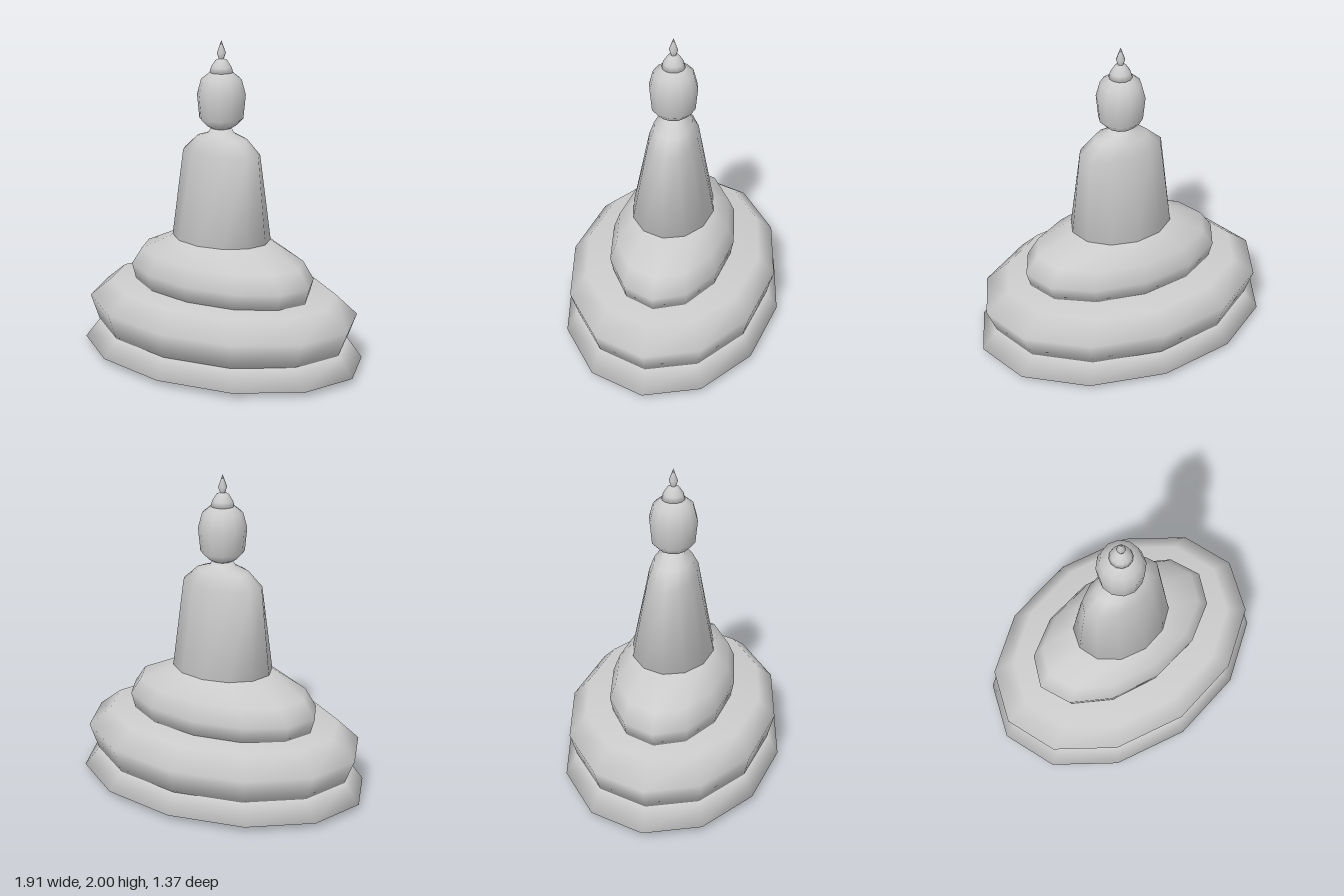
import * as THREE from 'three';

const material = new THREE.MeshStandardMaterial({ color: 0xcccccc });

// Smooth closed loft through elliptical rings [y, radiusX, radiusZ], bottom to top.
function loft(name, rings, sides = 12) {
  const pos = [], index = [];
  for (const [y, rx, rz = rx] of rings) {
    for (let i = 0; i < sides; i++) {
      const a = (i / sides) * Math.PI * 2;
      pos.push(rx * Math.cos(a), y, rz * Math.sin(a));
    }
  }
  for (let r = 0; r < rings.length - 1; r++) {
    for (let i = 0; i < sides; i++) {
      const j = (i + 1) % sides;
      const a = r * sides + i, b = r * sides + j;
      index.push(a, a + sides, b, b, a + sides, b + sides);
    }
  }
  // end caps
  const last = (rings.length - 1) * sides;
  const bottom = pos.length / 3, top = bottom + 1;
  pos.push(0, rings[0][0], 0, 0, rings[rings.length - 1][0], 0);
  for (let i = 0; i < sides; i++) {
    const j = (i + 1) % sides;
    index.push(bottom, i, j, top, last + j, last + i);
  }
  const geometry = new THREE.BufferGeometry();
  geometry.setAttribute('position', new THREE.Float32BufferAttribute(pos, 3));
  geometry.setIndex(index);
  geometry.computeVertexNormals();
  const mesh = new THREE.Mesh(geometry, material);
  mesh.name = name;
  return mesh;
}

export function createModel() {
  const group = new THREE.Group();
  group.name = 'seatedStatue';
  group.add(
    // two-tier pedestal
    loft('pedestalFoot', [[0, 0.83, 0.585], [0.035, 0.957, 0.687], [0.16, 0.857, 0.615]]),
    loft('pedestalCushion', [[0.16, 0.857, 0.615], [0.32, 0.92, 0.657], [0.44, 0.77, 0.553]]),
    // crossed legs as one rounded mass
    loft('foldedLegs', [[0.435, 0.615, 0.37], [0.54, 0.645, 0.39], [0.65, 0.57, 0.35], [0.768, 0.32, 0.25]]),
    // robed torso with shoulders and neck
    loft('torso', [[0.768, 0.327, 0.256], [1.31, 0.272, 0.15], [1.4, 0.173, 0.118],
      [1.43, 0.085, 0.075], [1.465, 0.062, 0.058]]),
    // head, topknot and finial
    loft('head', [[1.462, 0.06], [1.48, 0.092], [1.525, 0.135], [1.67, 0.149], [1.765, 0.124], [1.81, 0.068]]),
    loft('topknot', [[1.795, 0.075], [1.84, 0.062], [1.88, 0.037], [1.892, 0.01]]),
    loft('finial', [[1.88, 0.012], [1.925, 0.028], [2, 0.001]], 8)
  );
  return group;
}
